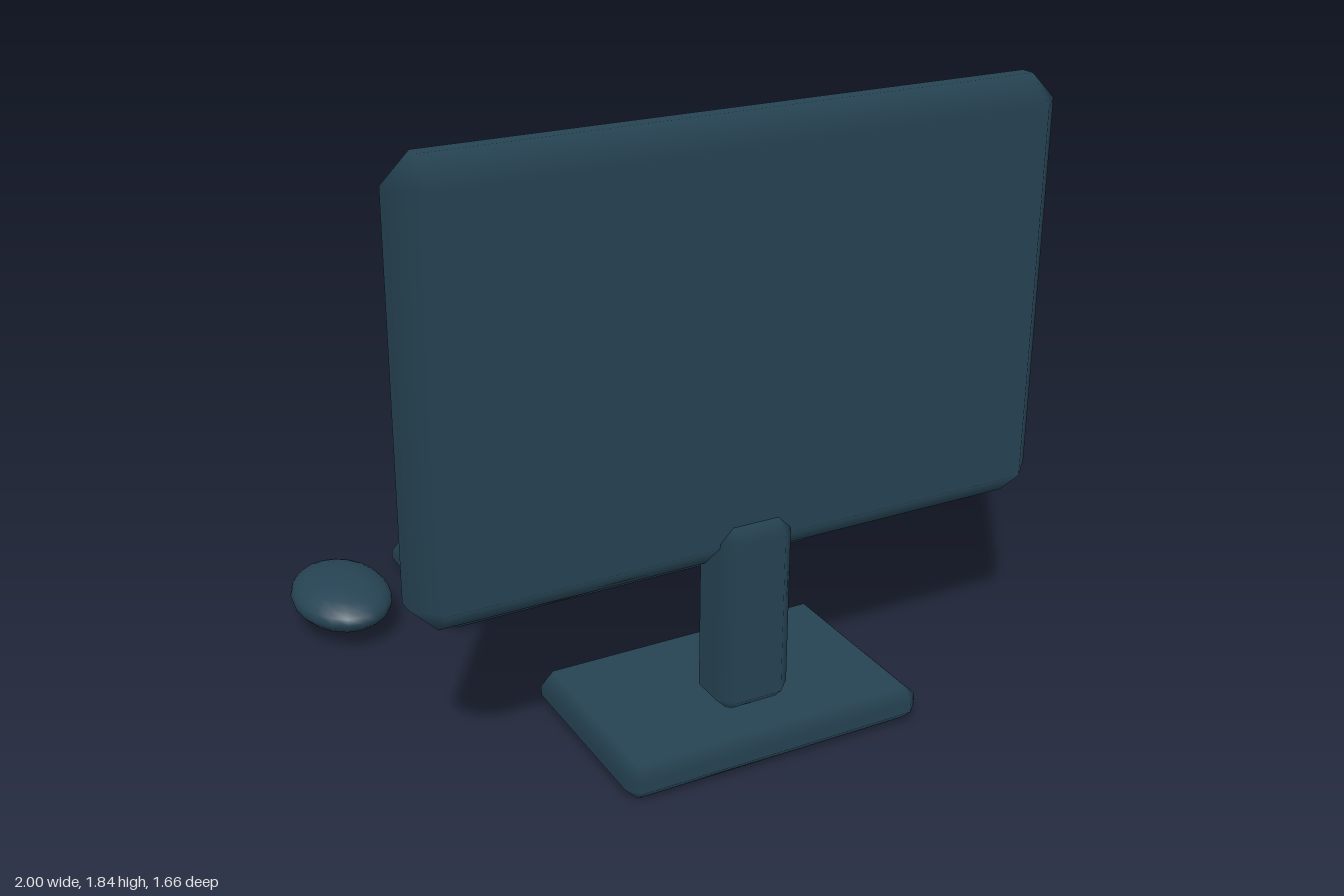
import * as THREE from 'three';

const mat = (name, color) => {
  const m = new THREE.MeshStandardMaterial({ color });
  m.name = name;
  return m;
};

// Box with one straight bevel on every edge; bevels blend between face normals.
function chamferBox(w, h, d, r) {
  const half = [w / 2, h / 2, d / 2];
  const pos = [], nor = [], idx = [];
  const S = [-1, 1];
  const id = (axis, s) => axis * 8 + (s[0] > 0 ? 1 : 0) + (s[1] > 0 ? 2 : 0) + (s[2] > 0 ? 4 : 0);
  for (let a = 0; a < 3; a++) {
    for (let c = 0; c < 8; c++) {
      const s = [c & 1 ? 1 : -1, c & 2 ? 1 : -1, c & 4 ? 1 : -1];
      for (let k = 0; k < 3; k++) {
        pos.push(s[k] * (k === a ? half[k] : half[k] - r));
        nor.push(k === a ? s[k] : 0);
      }
    }
  }
  const P = (i) => new THREE.Vector3().fromArray(pos, i * 3);
  const tri = (a, b, c) => {
    const n = P(b).sub(P(a)).cross(P(c).sub(P(a)));
    if (n.dot(P(a).add(P(b)).add(P(c))) < 0) idx.push(a, c, b);
    else idx.push(a, b, c);
  };
  const quad = (a, b, c, e) => { tri(a, b, c); tri(a, c, e); };
  const sign = (a, sa, b, sb, c, sc) => { const s = []; s[a] = sa; s[b] = sb; s[c] = sc; return s; };
  for (let a = 0; a < 3; a++) {
    const b = (a + 1) % 3, c = (a + 2) % 3;
    for (const sa of S) {
      // main face
      quad(...[[-1, -1], [1, -1], [1, 1], [-1, 1]].map(([u, v]) => id(a, sign(a, sa, b, u, c, v))));
      // bevels between faces a and b
      for (const sb of S) {
        const lo = sign(a, sa, b, sb, c, -1), hi = sign(a, sa, b, sb, c, 1);
        quad(id(a, lo), id(a, hi), id(b, hi), id(b, lo));
      }
    }
  }
  // corners
  for (const x of S) for (const y of S) for (const z of S) {
    const s = [x, y, z];
    tri(id(0, s), id(1, s), id(2, s));
  }
  const g = new THREE.BufferGeometry();
  g.setAttribute('position', new THREE.Float32BufferAttribute(pos, 3));
  g.setAttribute('normal', new THREE.Float32BufferAttribute(nor, 3));
  g.setIndex(idx);
  return g;
}

export function createModel() {
  const body = mat('darkTeal', 0x264353);
  const blue = mat('keyBlue', 0x4a7eb2);
  const light = mat('paleGrey', 0xb8c8ca);

  const root = new THREE.Group();
  root.name = 'desktopComputer';
  const group = (name) => {
    const g = new THREE.Group();
    g.name = name;
    root.add(g);
    return g;
  };
  const box = (parent, name, material, size, at, r) => {
    const m = new THREE.Mesh(chamferBox(...size, r), material);
    m.name = name;
    m.position.set(...at);
    parent.add(m);
    return m;
  };

  // Monitor and stand, with the display facing -z
  const monitor = group('monitor');
  box(monitor, 'casing', body, [2, 1.29, 0.205], [0, 1.195, 0.556], 0.08);
  box(monitor, 'screen', body, [1.81, 1.1, 0.04], [0, 1.2, 0.445], 0.015);
  box(monitor, 'neck', body, [0.235, 0.59, 0.19], [0, 0.395, 0.605], 0.045);
  box(monitor, 'base', body, [0.96, 0.11, 0.63], [0, 0.055, 0.517], 0.04);

  // Display content: header bar and four list rows
  const display = group('displayContent');
  box(display, 'headerBar', blue, [1.54, 0.04, 0.02], [0.02, 1.62, 0.42], 0.006);
  for (let i = 0; i < 4; i++) {
    const y = 1.46 - i * 0.2;
    box(display, 'rowIcon', i < 3 ? light : blue, [0.08, 0.085, 0.025], [0.7, y, 0.41], 0.008);
    box(display, 'rowText', light, [0.58 - i * 0.06, 0.03, 0.025], [0.25, y, 0.414], 0.006);
    box(display, 'rowButton', blue, [0.28, 0.09, 0.025], [-0.55, y, 0.41], 0.008);
    box(display, 'buttonLabel', light, [0.16, 0.014, 0.016], [-0.55, y, 0.395], 0.004);
  }

  // Keyboard
  const keyboard = group('keyboard');
  box(keyboard, 'keyboardBody', body, [1.4, 0.105, 0.56], [0.133, 0.0525, -0.551], 0.04);
  for (let row = 0; row < 4; row++) {
    const z = -0.75 + row * 0.115;
    for (let col = 0; col < 11; col++) {
      if (row === 3 && col > 2 && col < 9) continue;
      box(keyboard, 'key', blue, [0.092, 0.03, 0.08], [-0.455 + col * 0.12, 0.115, z], 0.01);
    }
  }
  box(keyboard, 'spaceBar', blue, [0.596, 0.03, 0.08], [0.19, 0.115, -0.405], 0.01);

  // Mouse
  const mouse = new THREE.Mesh(new THREE.SphereGeometry(1, 20, 12), body);
  mouse.name = 'mouse';
  mouse.scale.set(0.155, 0.075, 0.214);
  mouse.position.set(-0.845, 0.109, -0.5);
  root.add(mouse);

  return root;
}
